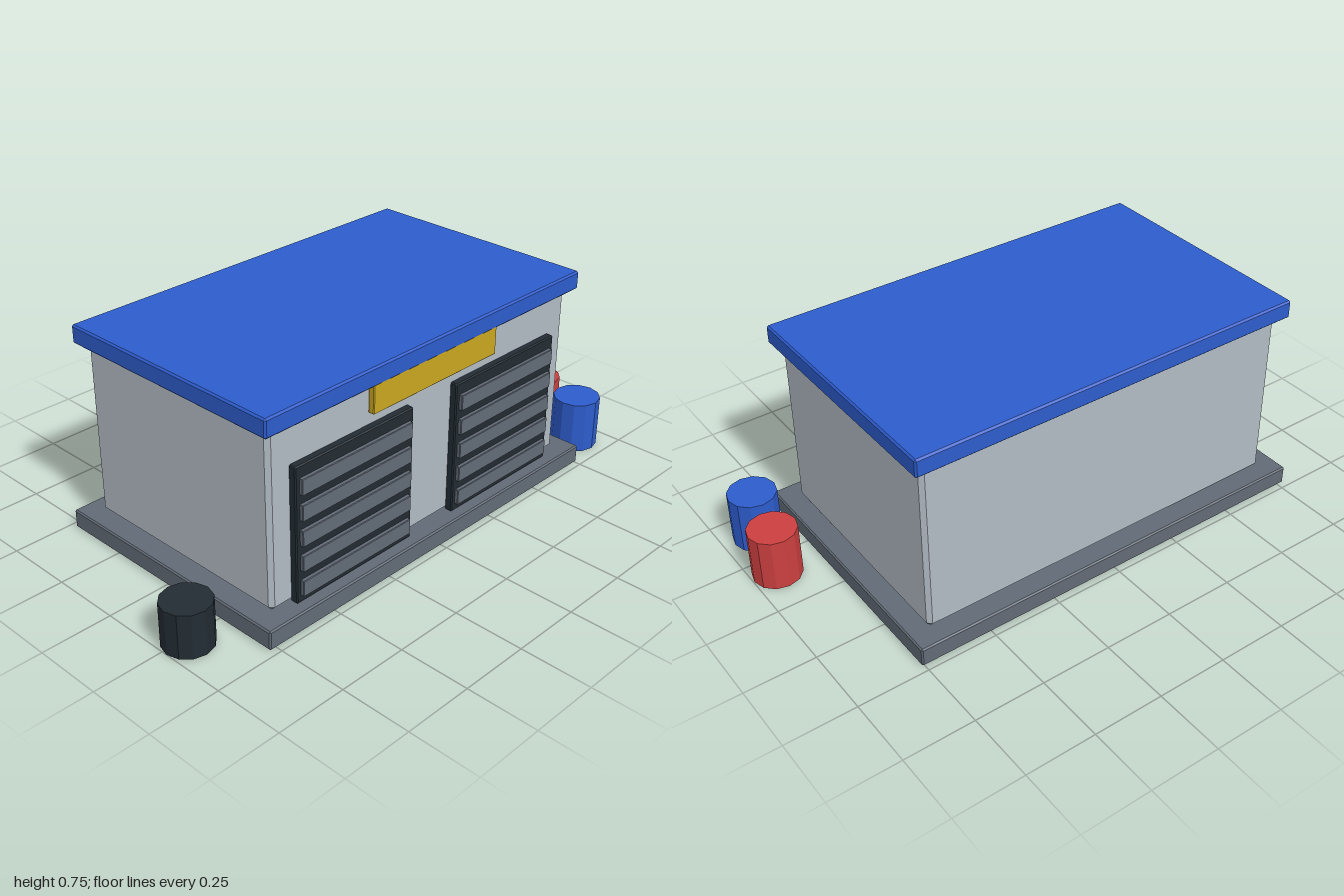
import * as THREE from 'three';
import { ConvexGeometry } from 'three/addons/geometries/ConvexGeometry.js';

const mat = (name, color, flatShading = false) => {
  const m = new THREE.MeshStandardMaterial({ color, flatShading });
  m.name = name;
  return m;
};

export function createModel() {
  const group = new THREE.Group();
  group.name = 'garage';
  const blue = mat('blue', 0x2d5ccc, true);
  const wall = mat('pale grey', 0xb2bbc4, true);
  const slate = mat('slate grey', 0x626b76, true);
  const dark = mat('charcoal', 0x222c33, true);
  const yellow = mat('yellow', 0xcaa621, true);
  const red = mat('red', 0xcc4040, true);

  const add = (name, geometry, material, parent = group) => {
    const mesh = new THREE.Mesh(geometry, material);
    mesh.name = name;
    parent.add(mesh);
    return mesh;
  };

  // Box with chamfered edges, given by its x, y and z ranges
  const bevelBox = (name, [x0, x1], [y0, y1], [z0, z1], c, material, parent) => {
    const half = [(x1 - x0) / 2, (y1 - y0) / 2, (z1 - z0) / 2];
    const points = [];
    for (const sx of [-1, 1]) for (const sy of [-1, 1]) for (const sz of [-1, 1]) {
      for (let axis = 0; axis < 3; axis++) {
        const [x, y, z] = half.map((h, i) => (i === axis ? h : h - c));
        points.push(new THREE.Vector3(sx * x, sy * y, sz * z));
      }
    }
    const mesh = add(name, new ConvexGeometry(points), material, parent);
    mesh.position.set((x0 + x1) / 2, (y0 + y1) / 2, (z0 + z1) / 2);
    return mesh;
  };

  // Building
  bevelBox('foundation', [-0.776, 0.758], [0, 0.068], [-0.478, 0.478], 0.005, slate);
  bevelBox('walls', [-0.707, 0.689], [0.068, 0.688], [-0.412, 0.412], 0.014, wall);
  bevelBox('roof', [-0.741, 0.722], [0.687, 0.753], [-0.443, 0.443], 0.006, blue);
  bevelBox('signBoard', [-0.299, 0.281], [0.593, 0.7], [0.417, 0.441], 0.003, yellow);

  // Roller doors with raised slats
  for (const [name, x] of [['rightDoor', -0.368], ['leftDoor', 0.35]]) {
    const door = new THREE.Group();
    door.name = name;
    group.add(door);
    bevelBox('doorPanel', [x - 0.256, x + 0.256], [0.068, 0.548], [0.408, 0.437], 0.004, dark, door);
    for (let i = 0; i < 5; i++) {
      const y = 0.122 + i * 0.089;
      bevelBox('doorSlat', [x - 0.24, x + 0.24], [y - 0.028, y + 0.028], [0.43, 0.45], 0.002, slate, door);
    }
  }

  // Barrels standing beside the building
  const barrel = (name, x, z, h, material) =>
    add(name, new THREE.CylinderGeometry(0.085, 0.085, h, 12), material).position.set(x, h / 2, z);
  barrel('darkBarrel', -0.915, 0.27, 0.157, dark);
  barrel('redBarrel', 0.912, 0.17, 0.19, red);
  barrel('blueBarrel', 0.879, 0.376, 0.19, blue);

  return group;
}
